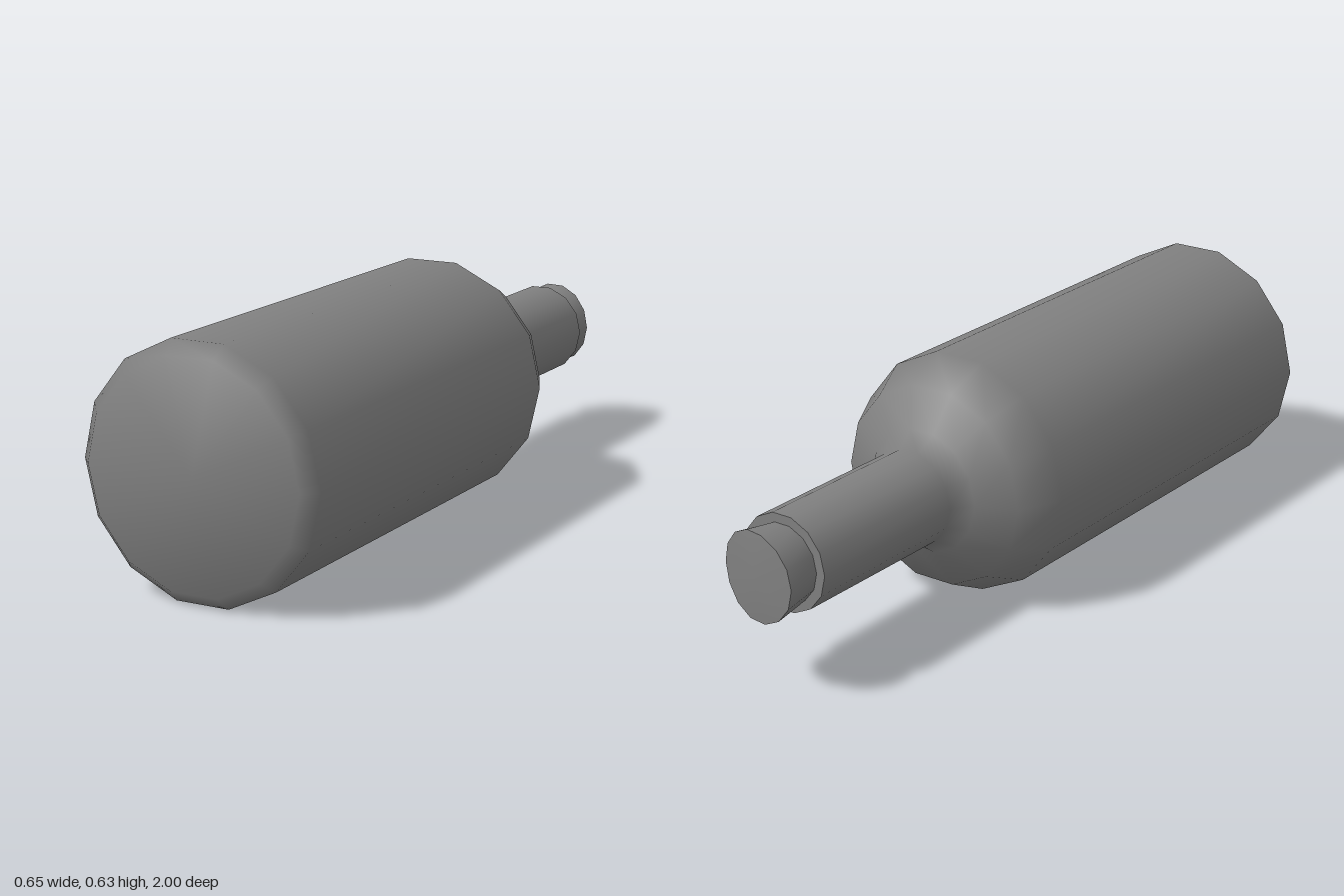
import * as THREE from 'three';
import { mergeVertices } from 'three/addons/utils/BufferGeometryUtils.js';

const SIDES = 14;
const AXIS_HEIGHT = 0.317;

// Revolve a [radius, distance] profile, then lay its axis along -z.
function turned(profile) {
  const points = profile.map(([r, d]) => new THREE.Vector2(r, d));
  const geometry = new THREE.LatheGeometry(points, SIDES, Math.PI / 2);
  return geometry.rotateX(-Math.PI / 2);
}

// Lean the normals of the base rim outward so the base shades softly into its chamfer.
function softenBase(geometry) {
  const { position, normal } = geometry.attributes;
  const n = new THREE.Vector3();
  for (let i = 0; i < position.count; i++) {
    n.set(position.getX(i), position.getY(i), 0);
    if (position.getZ(i) > 0.99 && n.length() > 0.1) {
      n.setLength(0.4).setZ(0.92).normalize();
      normal.setXYZ(i, n.x, n.y, n.z);
    }
  }
  return geometry;
}

// Slant and slightly curve the outer end of the stopper.
function slantEnd(geometry) {
  const p = geometry.attributes.position;
  for (let i = 0; i < p.count; i++) {
    if (p.getZ(i) < -0.95) {
      const x = p.getX(i);
      const y = p.getY(i);
      p.setZ(i, -0.997 + 0.15 * x + 1.4 * x * x + 0.8 * y * y);
    }
  }
  geometry.deleteAttribute('normal');
  geometry.deleteAttribute('uv');
  const merged = mergeVertices(geometry);
  merged.computeVertexNormals();
  return merged;
}

export function createModel() {
  const model = new THREE.Group();
  model.name = 'bottle';
  const material = new THREE.MeshStandardMaterial({ color: 0x808080, side: THREE.DoubleSide });

  const add = (name, geometry) => {
    const mesh = new THREE.Mesh(geometry, material);
    mesh.name = name;
    mesh.position.y = AXIS_HEIGHT;
    model.add(mesh);
  };

  // Base, chamfer, barrel, shoulder and neck
  add('bottleBody', softenBase(turned([
    [0, -1], [0.29, -1], [0.325, -0.963], [0.325, 0.19],
    [0.27, 0.305], [0.166, 0.348], [0.128, 0.4], [0.128, 0.887],
  ])));

  // Flat rim of the neck
  add('neckRim', turned([[0.128, 0.887], [0.09, 0.887]]));

  // Flared stopper with a slanted end
  add('stopperSide', slantEnd(turned([[0.101, 0.87], [0.118, 1]])));
  add('stopperEnd', slantEnd(turned([[0.118, 1], [0, 1]])));

  return model;
}
